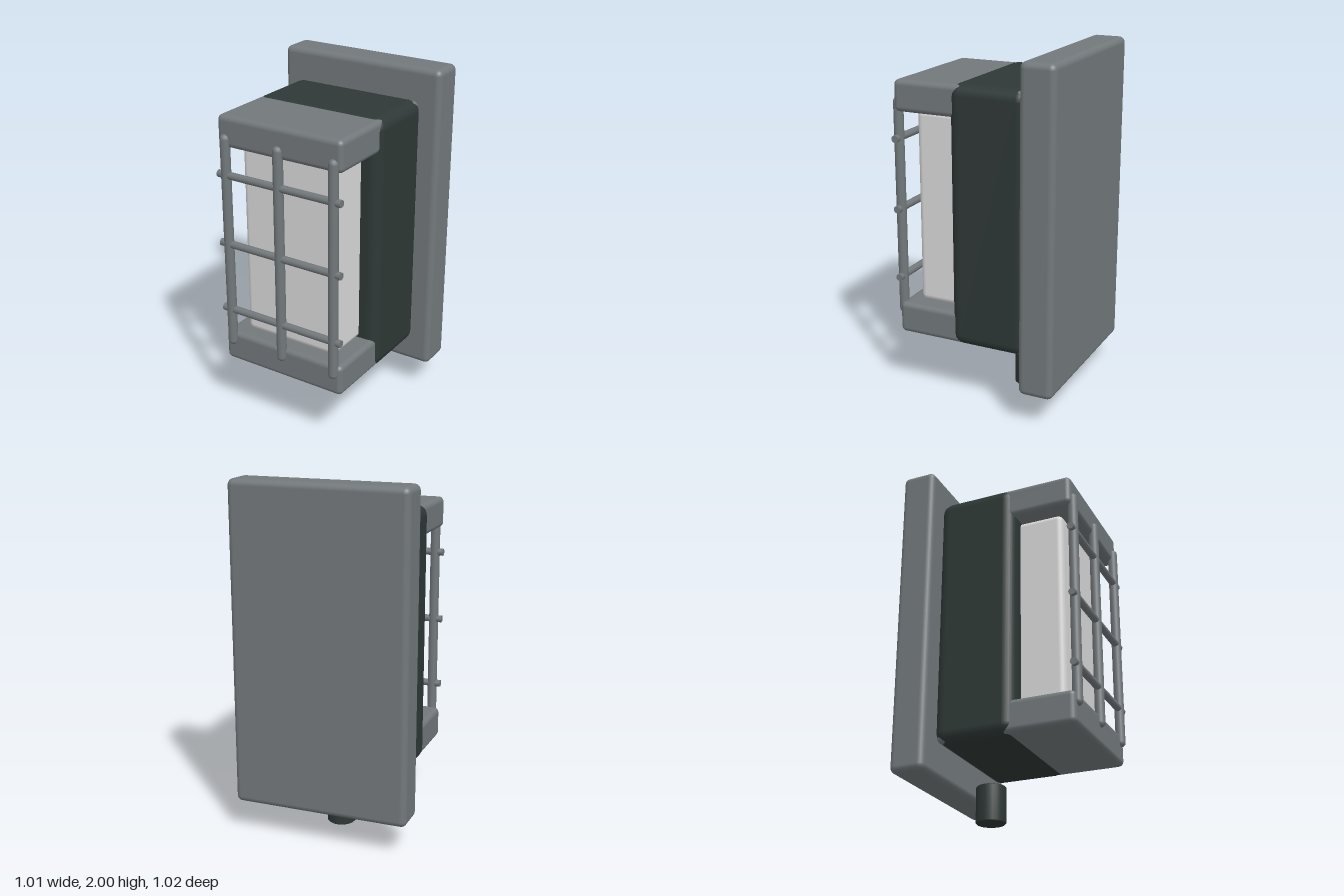
import * as THREE from 'three';
import { RoundedBoxGeometry } from 'three/addons/geometries/RoundedBoxGeometry.js';

export function createModel() {
  const model = new THREE.Group();
  const mat = (name, color) => {
    const m = new THREE.MeshStandardMaterial({ color });
    m.name = name;
    return m;
  };
  const grey = mat('grey metal', 0x72787b);
  const dark = mat('dark housing', 0x2e3836);
  const glass = mat('frosted glass', 0xd8d8d8);

  const add = (name, geometry, material, parent = model) => {
    const mesh = new THREE.Mesh(geometry, material);
    mesh.name = name;
    parent.add(mesh);
    return mesh;
  };
  // Rounded box given by its extents, centred on x
  const block = (name, halfX, y0, y1, z0, z1, radius, material) =>
    add(name, new RoundedBoxGeometry(halfX * 2, y1 - y0, z1 - z0, 3, radius), material)
      .position.set(0, (y0 + y1) / 2, (z0 + z1) / 2);

  // Wall plate, housing, and the two caps that run through it
  block('wallPlate', 0.505, 0.18, 2, -0.51, -0.31, 0.035, grey);
  block('housing', 0.405, 0.345, 1.832, -0.312, 0.15, 0.065, dark);
  block('topCap', 0.39, 1.648, 1.825, -0.3, 0.488, 0.03, grey);
  block('bottomCap', 0.39, 0.352, 0.535, -0.3, 0.488, 0.03, grey);
  block('glassPanel', 0.295, 0.532, 1.65, 0, 0.402, 0.035, glass);

  // Front guard: three upright bars and three cross bars
  const guard = new THREE.Group();
  guard.name = 'guard';
  model.add(guard);
  const barZ = 0.485;
  for (const x of [-0.34, 0, 0.34]) {
    add('uprightBar', new THREE.CapsuleGeometry(0.028, 1.214, 4, 12), grey, guard)
      .position.set(x, 1.09, barZ);
  }
  for (const y of [0.685, 1.09, 1.495]) {
    const bar = add('crossBar', new THREE.CylinderGeometry(0.021, 0.021, 0.78, 12), grey, guard);
    bar.rotation.z = Math.PI / 2;
    bar.position.set(0, y, barZ);
  }

  // Sensor stub under the housing, with slightly eased rims
  const stub = [[0, 0], [0.077, 0], [0.083, 0.006], [0.083, 0.199], [0.077, 0.205], [0, 0.205]]
    .map(([x, y]) => new THREE.Vector2(x, y));
  add('sensorStub', new THREE.LatheGeometry(stub, 24), dark).position.z = -0.154;

  return model;
}
